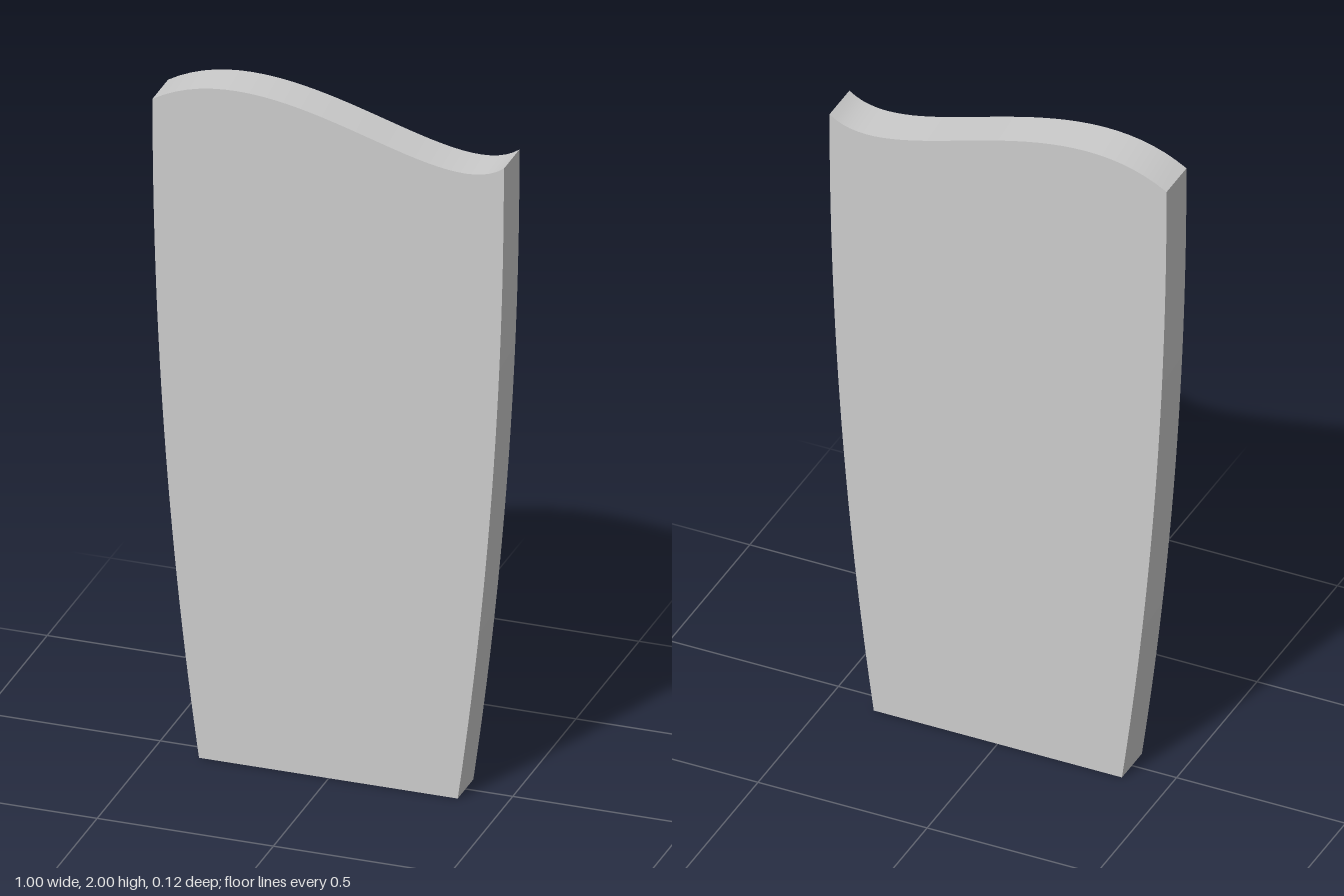
import * as THREE from 'three';
import { toCreasedNormals } from 'three/addons/utils/BufferGeometryUtils.js';

const DEPTH = 0.124;

export function createModel() {
  const group = new THREE.Group();
  group.name = 'curvedPanel';

  // Outline: flat foot, bowed sides, wavy top
  const outline = new THREE.Shape();
  outline.moveTo(-0.368, 0);
  outline.lineTo(0.366, 0);
  outline.quadraticCurveTo(0.497, 0.94, 0.497, 1.895);
  outline.bezierCurveTo(0.309, 1.75, -0.157, 2.147, -0.5, 1.938);
  outline.quadraticCurveTo(-0.5, 0.95, -0.368, 0);

  const slab = new THREE.ExtrudeGeometry(outline, {
    depth: DEPTH,
    bevelEnabled: false,
    curveSegments: 32,
  });
  slab.translate(0, 0, -DEPTH / 2);

  // Smooth along the curves, sharp at the rims and corners
  const panel = new THREE.Mesh(
    toCreasedNormals(slab, Math.PI / 6),
    new THREE.MeshStandardMaterial({ color: 0xcccccc })
  );
  panel.name = 'panel';
  group.add(panel);

  return group;
}
